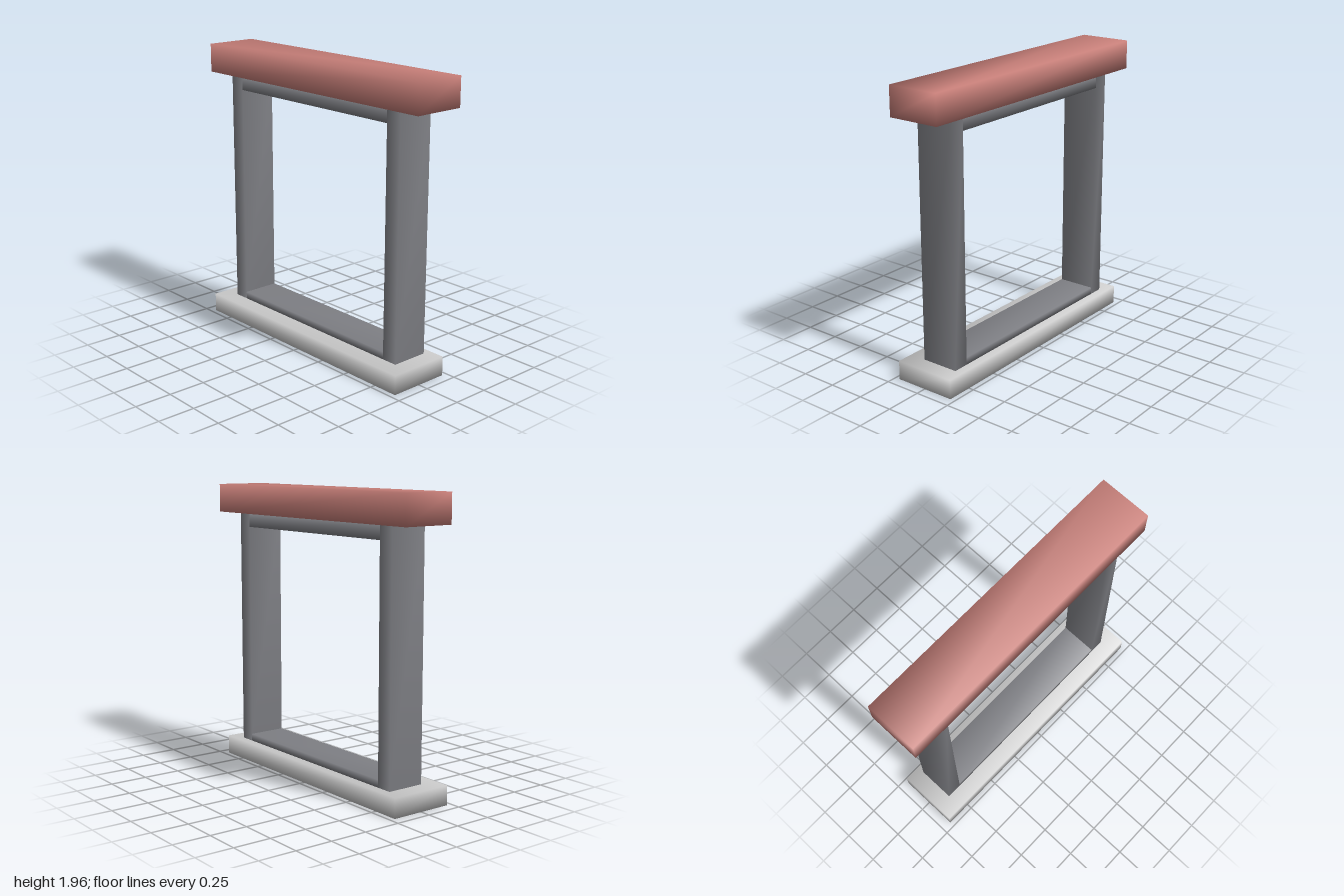
import * as THREE from 'three';
import { mergeVertices } from 'three/addons/utils/BufferGeometryUtils.js';

const material = (color) => new THREE.MeshStandardMaterial({ color });

// Box given by its limits, with shared corners so its shading is smooth
function softBox(name, [x0, x1], [y0, y1], [z0, z1], mat) {
  const box = new THREE.BoxGeometry(x1 - x0, y1 - y0, z1 - z0);
  box.deleteAttribute('normal');
  box.deleteAttribute('uv');
  const geometry = mergeVertices(box);
  geometry.computeVertexNormals();
  const mesh = new THREE.Mesh(geometry, mat);
  mesh.name = name;
  mesh.position.set((x0 + x1) / 2, (y0 + y1) / 2, (z0 + z1) / 2);
  return mesh;
}

export function createModel() {
  const group = new THREE.Group();
  group.name = 'windowFrame';
  const stone = material(0xcccccc);
  const frame = material(0x7e7f84);
  const brick = material(0xc67e78);
  const depth = [-0.16, 0.1];
  const outer = 0.815, inner = 0.705;
  const sillTop = 0.13, lintelBottom = 1.76;

  // Sill below and lintel above, both wider than the frame
  group.add(softBox('sill', [-0.93, 0.93], [0, sillTop], [-0.215, 0.215], stone));
  group.add(softBox('lintel', [-1, 1], [lintelBottom, 1.955], [-0.215, 0.145], brick));

  // Upright jambs
  group.add(softBox('leftJamb', [inner, outer], [sillTop, lintelBottom], depth, frame));
  group.add(softBox('rightJamb', [-outer, -inner], [sillTop, lintelBottom], depth, frame));

  // Rails between the jambs
  group.add(softBox('topRail', [-inner, inner], [1.665, lintelBottom], depth, frame));
  group.add(softBox('bottomRail', [-inner, inner], [sillTop, 0.18], depth, frame));
  return group;
}
